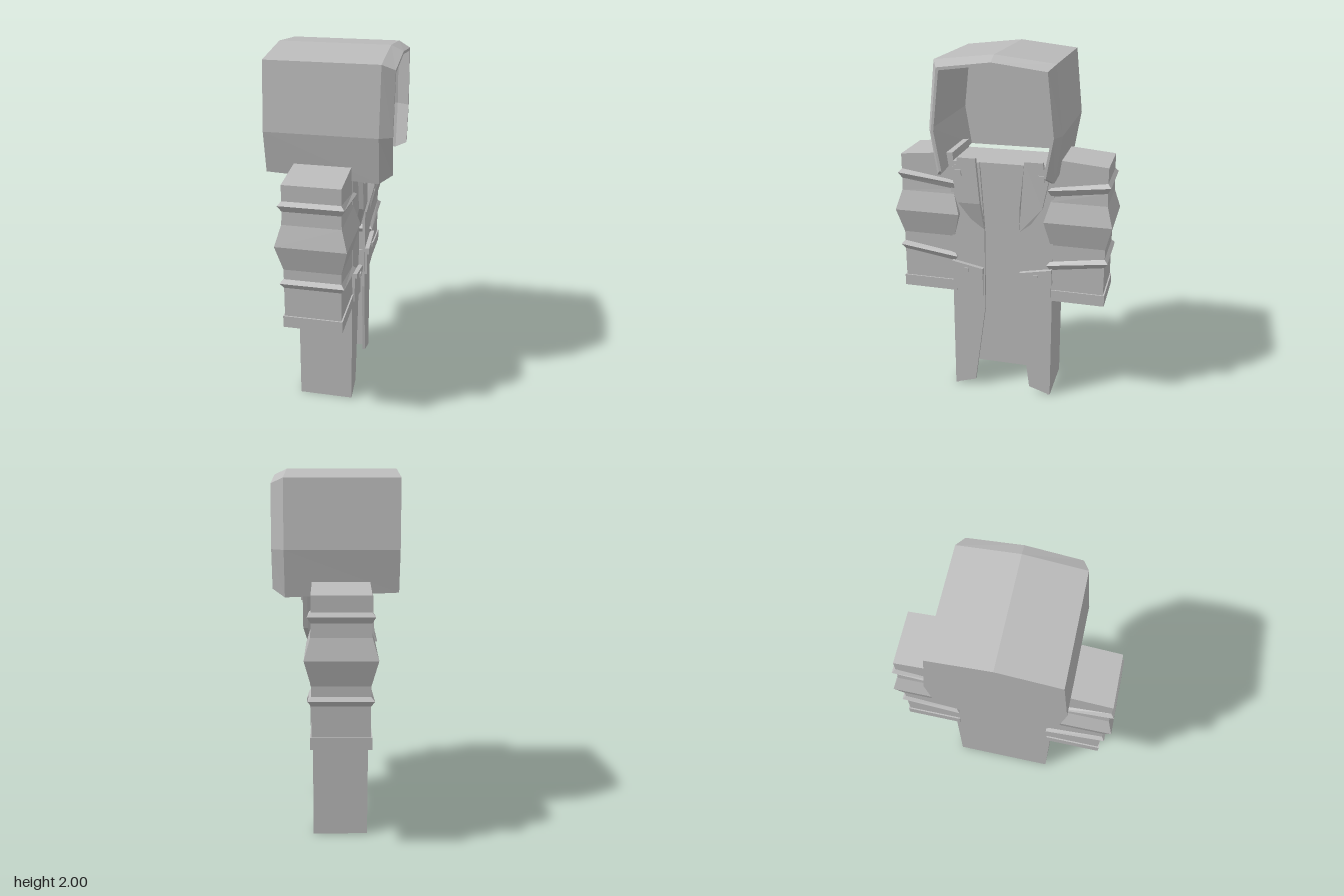
import * as THREE from 'three';

const cloth = new THREE.MeshStandardMaterial({ color: 0xbcbcbc, side: THREE.DoubleSide });
cloth.name = 'grey cloth';

// Extrudes a [z, y] outline along x; side = -1 mirrors it to the other half
function slab(name, points, x0, depth, side = 1) {
  const shape = new THREE.Shape(points.map(([z, y]) => new THREE.Vector2(-z * side, y)));
  const geo = new THREE.ExtrudeGeometry(shape, { depth, bevelEnabled: false });
  geo.rotateY(Math.PI / 2).translate(x0, 0, 0);
  return named(name, geo);
}

function box(name, w, h, d, x, y, z) {
  return named(name, new THREE.BoxGeometry(w, h, d).translate(x, y, z));
}

function named(name, geo) {
  const mesh = new THREE.Mesh(geo, cloth);
  mesh.name = name;
  return mesh;
}

// Faceted geometry from a list of polygons, each fanned into triangles
function faceted(polygons) {
  const pos = [];
  for (const p of polygons)
    for (let i = 1; i < p.length - 1; i++) pos.push(...p[0], ...p[i], ...p[i + 1]);
  const geo = new THREE.BufferGeometry();
  geo.setAttribute('position', new THREE.Float32BufferAttribute(pos, 3));
  geo.computeVertexNormals();
  return geo;
}

// Hood: outer shell, narrowed rim, inner shell, open at front and bottom
function hood() {
  const section = (x, inset, bottom, top) => {
    const half = [[0.315 - inset, bottom], [0.352 - inset, 1.61], [0.315 - inset, top - 0.035]];
    const right = half.map(([z, y]) => [x, y, -z]);
    const left = half.map(([z, y]) => [x, y, z]).reverse();
    return [...right, [x, top, 0], ...left];
  };
  const rows = [
    section(-0.33, 0, 1.385, 2), section(0.26, 0, 1.36, 2), section(0.325, 0.032, 1.4, 1.97),
    section(0.325, 0.045, 1.4, 1.956), section(0.26, 0.015, 1.36, 1.985), section(-0.315, 0.015, 1.385, 1.985),
  ];
  const faces = [[...rows[0]].reverse(), rows[5]];
  for (let r = 0; r < 5; r++)
    for (let i = 0; i < 6; i++)
      faces.push([rows[r][i], rows[r][i + 1], rows[r + 1][i + 1], rows[r + 1][i]]);
  // Lower hem edges
  for (let k = 0; k < 2; k++) {
    faces.push([rows[k][0], rows[k + 1][0], rows[4 - k][0], rows[5 - k][0]]);
    faces.push([rows[k][6], rows[5 - k][6], rows[4 - k][6], rows[k + 1][6]]);
  }
  faces.push([rows[0][0], rows[5][0], rows[5][6], rows[0][6]]);
  return named('hood', faceted(faces));
}

// Sleeve: square rings of [outer y, inner y, swelling] stacked from the shoulder down
function sleeve(name, side) {
  const rings = [
    [1.42, 1.447, 0], [1.335, 1.29, 0], [1.315, 1.275, 0.018], [1.28, 1.24, 0],
    [1.21, 1.21, 0.003], [1.1, 1.1, 0.035], [0.96, 0.96, 0], [0.905, 0.86, 0],
    [0.885, 0.84, 0.018], [0.855, 0.81, 0], [0.69, 0.69, 0], [0.69, 0.69, 0.008], [0.625, 0.625, 0.008],
  ].map(([yo, yi, e]) => [
    [-0.18 - e, yi, side * (0.275 - e)], [0.12 + e, yi, side * (0.275 - e)],
    [0.12 + e, yo, side * (0.575 + e)], [-0.18 - e, yo, side * (0.575 + e)],
  ]);
  const faces = [[...rings[0]].reverse(), rings[rings.length - 1]];
  for (let r = 0; r < rings.length - 1; r++)
    for (let i = 0; i < 4; i++) {
      const j = (i + 1) % 4;
      faces.push([rings[r][i], rings[r][j], rings[r + 1][j], rings[r + 1][i]]);
    }
  if (side < 0) faces.forEach((f) => f.reverse());
  // Rings run clockwise seen from above, so turn every face outward
  faces.forEach((f) => f.reverse());
  faces[0].reverse();
  faces[1].reverse();
  return named(name, faceted(faces.map((f, i) => (i < 2 ? f : f.reverse()))));
}

// Lapel: flat outline leaning forward from the chest
function lapel(name, side) {
  const mesh = slab(name, [
    [0.1, 1.02], [0.17, 1.08], [0.235, 1.18], [0.275, 1.37], [0.24, 1.4], [0.235, 1.435], [0.135, 1.435], [0.112, 1.18],
  ], 0.105, 0.025, side);
  const p = mesh.geometry.attributes.position;
  for (let i = 0; i < p.count; i++)
    p.setX(i, p.getX(i) + 0.04 * THREE.MathUtils.clamp((p.getY(i) - 1.02) / 0.16, 0, 1));
  mesh.geometry.computeVertexNormals();
  return mesh;
}

export function createModel() {
  const coat = new THREE.Group();
  coat.name = 'hoodedCoat';
  coat.add(hood());

  // Body shell, open at the front and bottom
  coat.add(box('backPanel', 0.015, 1.4, 0.58, -0.1725, 0.7, 0));
  coat.add(box('shoulderPlate', 0.285, 0.03, 0.58, -0.03, 1.385, 0));

  for (const side of [1, -1]) {
    const tag = side > 0 ? 'A' : 'B';
    coat.add(box('sidePanel' + tag, 0.3, 1.4, 0.015, -0.03, 0.7, side * 0.2825));
    coat.add(slab('frontPanel' + tag, [
      [0.29, 0], [0.165, 0.04], [0.1, 0.53], [0.1, 1.02], [0.125, 1.4], [0.29, 1.4],
    ], 0.107, 0.015, side));
    coat.add(sleeve('sleeve' + tag, side));

    // Lapel with its button
    coat.add(lapel('lapel' + tag, side));
    coat.add(box('lapelButton' + tag, 0.012, 0.035, 0.035, 0.173, 1.35, side * 0.23));

    // Pocket, flap and button
    coat.add(slab('pocket' + tag, [[0.285, 0.815], [0.11, 0.78], [0.11, 0.61], [0.285, 0.645]], 0.115, 0.02, side));
    coat.add(slab('pocketFlap' + tag, [
      [0.287, 0.818], [0.106, 0.783], [0.106, 0.745], [0.2, 0.745], [0.287, 0.79],
    ], 0.12, 0.027, side));
    coat.add(box('pocketButton' + tag, 0.01, 0.025, 0.025, 0.149, 0.77, side * 0.2));

    // Back yoke half, flaring at its lower edge
    const yoke = new THREE.Shape([[-0.17, 1.4], [-0.2, 1.39], [-0.21, 1.14], [-0.226, 1.1], [-0.17, 1.1]]
      .map(([x, y]) => new THREE.Vector2(x, y)));
    const geo = new THREE.ExtrudeGeometry(yoke, { depth: 0.2, bevelEnabled: false });
    geo.translate(0, 0, side > 0 ? 0.02 : -0.22);
    coat.add(named('backYoke' + tag, geo));
  }
  return coat;
}
